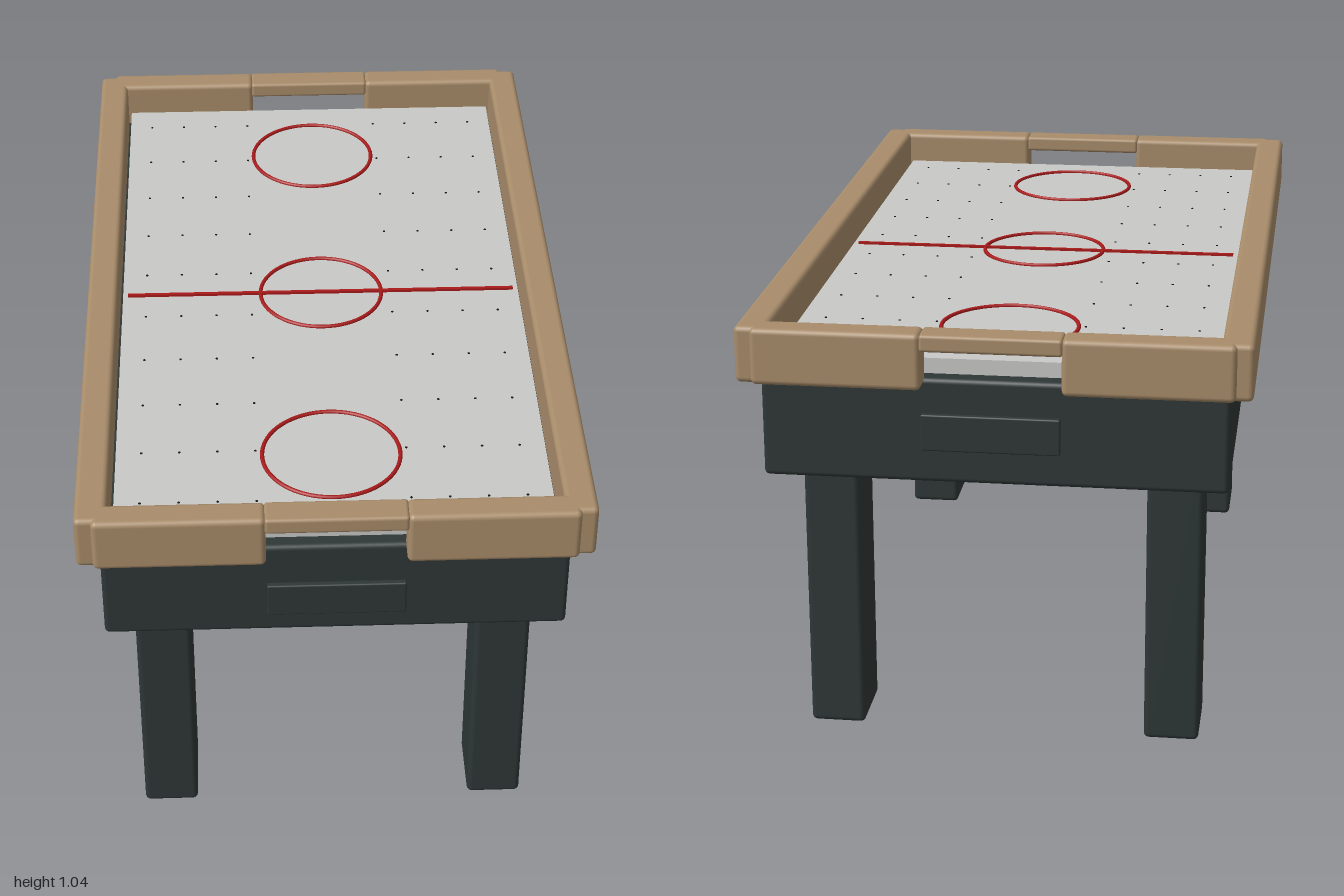
import * as THREE from 'three';
import { RoundedBoxGeometry } from 'three/addons/geometries/RoundedBoxGeometry.js';

function material(name, color) {
  const m = new THREE.MeshStandardMaterial({ color });
  m.name = name;
  return m;
}

export function createModel() {
  const table = new THREE.Group();
  table.name = 'airHockeyTable';
  const dark = material('dark slate', 0x2e3736);
  const wood = material('light wood', 0xa88c6a);
  const white = material('pale playing surface', 0xc9c9c7);
  const red = material('red marking', 0xaa1a1a);
  const black = material('black hole', 0x151515);

  const add = (name, geometry, mat, x, y, z) => {
    const mesh = new THREE.Mesh(geometry, mat);
    mesh.name = name;
    mesh.position.set(x, y, z);
    table.add(mesh);
    return mesh;
  };
  // Box given by its extents, with softly rounded edges
  const block = (name, mat, [x0, x1], [y0, y1], [z0, z1], r) =>
    add(name, new RoundedBoxGeometry(x1 - x0, y1 - y0, z1 - z0, 3, r), mat,
      (x0 + x1) / 2, (y0 + y1) / 2, (z0 + z1) / 2);
  // Same extents mirrored to the negative side
  const side = (s, a, b) => (s > 0 ? [a, b] : [-b, -a]);

  // Cabinet and playing surface
  block('cabinet', dark, [-0.528, 0.528], [0.68, 0.927], [-0.943, 0.943], 0.012);
  add('playingSurface', new THREE.BoxGeometry(0.996, 0.036, 1.82), white, 0, 0.947, 0);

  for (const s of [1, -1]) {
    // Legs
    for (const t of [1, -1]) {
      block('leg', dark, side(s, 0.336, 0.466), [0, 0.7], side(t, 0.64, 0.815), 0.013);
      // End rails on both sides of the goal opening
      block('endRail', wood, side(s, 0.157, 0.541), [0.911, 1.043], side(t, 0.918, 0.99), 0.013);
    }
    // Long side rails
    block('sideRail', wood, side(s, 0.506, 0.579), [0.911, 1.043], [-0.977, 0.977], 0.013);
    // Bridge over the goal and the return tray plate below it
    block('goalBridge', wood, [-0.16, 0.16], [1.002, 1.042], side(s, 0.919, 0.989), 0.008);
    block('goalPlate', dark, [-0.156, 0.156], [0.776, 0.861], side(s, 0.984, 1.0), 0.004);
  }

  // Centre line and circles
  add('centreLine', new THREE.BoxGeometry(0.97, 0.008, 0.009), red, 0, 0.967, 0);
  for (const [z, r] of [[-0.66, 0.16], [0, 0.152], [0.66, 0.16]]) {
    const ring = add('circleMarking', new THREE.TorusGeometry(r, 0.005, 8, 64), red, 0, 0.967, z);
    ring.rotation.x = Math.PI / 2;
  }

  // Air holes in two banks
  const hole = new THREE.CylinderGeometry(0.003, 0.003, 0.002, 8);
  for (let row = 0; row < 10; row++) {
    for (let col = 0; col < 4; col++) {
      for (const s of [1, -1]) {
        add('airHole', hole, black, s * (0.175 + col * 0.088), 0.9655, -0.825 + row * 0.1833);
      }
    }
  }
  return table;
}
